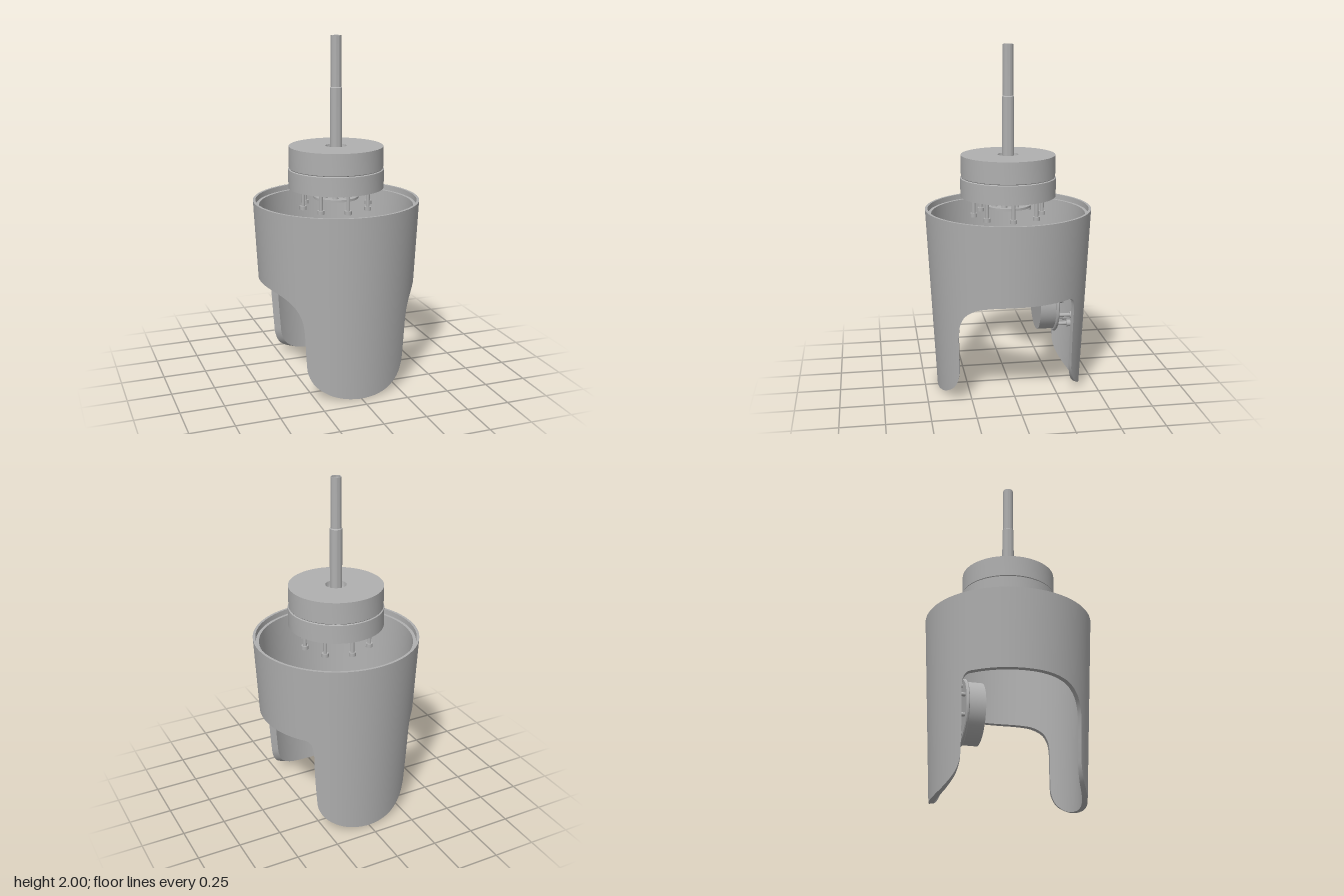
import * as THREE from 'three';
import { toCreasedNormals } from 'three/addons/utils/BufferGeometryUtils.js';

const grey = new THREE.MeshStandardMaterial({ color: 0xb0b0b0, side: THREE.DoubleSide });
grey.name = 'plain grey';

function add(parent, name, geometry, x = 0, y = 0, z = 0) {
  const mesh = new THREE.Mesh(geometry, grey);
  mesh.name = name;
  mesh.position.set(x, y, z);
  parent.add(mesh);
  return mesh;
}

// Turned part with crisp edges; profile is [radius, height] going up the outside
function turned(profile, segments = 64) {
  const points = profile.map(([r, y]) => new THREE.Vector2(r, y));
  return toCreasedNormals(new THREE.LatheGeometry(points, segments), 0.6);
}

// Tapered sleeve whose lower rim follows two legs and two side openings
function sleeveGeometry() {
  const foot = [[0, 0], [12.5, 0.008], [25, 0.033], [36, 0.085], [41, 0.15], [42, 0.22]];
  const front = [...foot, [43, 0.41], [44.5, 0.47], [49, 0.53], [58, 0.578], [69, 0.6], [80, 0.608], [90, 0.61]];
  const back = [...foot, [43, 0.4], [43.5, 0.55], [45, 0.59], [48, 0.608], [54, 0.61]];
  const path = [...front, ...back.reverse().map(([a, y]) => [180 - a, y])];
  const curve = new THREE.CatmullRomCurve3(path.map(([a, y]) => new THREE.Vector3(a / 130, y, 0)));
  const half = curve.getSpacedPoints(150).map(p => [p.x * 130, Math.max(p.y, 0)]);
  const loop = [...half, ...half.slice(0, -1).reverse().map(([a, y]) => [360 - a, y])];

  const point = (r, angle, y) => {
    const a = THREE.MathUtils.degToRad(angle);
    return [r * Math.sin(a), y, r * Math.cos(a)];
  };
  // The opening is cut sideways, so the inner edge sits at a slightly smaller angle
  const innerAngle = a => {
    if (a > 180) return 360 - innerAngle(360 - a);
    const g = a < 90 ? a : 180 - a;
    const d = g < 42 ? 3.5 * g / 42 : 3.5 * (90 - g) / 48;
    return a < 90 ? a - d : a + d;
  };
  const columns = loop.map(([a, y]) => {
    const b = innerAngle(a);
    return {
      outLow: point(0.425 + 0.0514 * y, a, y), outTop: point(0.48, a, 1.07),
      inLow: point(0.395 + 0.048 * y, b, y), inTop: point(0.445, b, 1.04),
    };
  });
  const vertices = [];
  const quad = (a, b, c, d) => vertices.push(...a, ...b, ...c, ...a, ...c, ...d);
  for (let i = 0; i < columns.length - 1; i++) {
    const p = columns[i], q = columns[i + 1];
    quad(p.outLow, q.outLow, q.outTop, p.outTop);
    quad(q.inLow, p.inLow, p.inTop, q.inTop);
    quad(p.inLow, q.inLow, q.outLow, p.outLow);
  }
  const geometry = new THREE.BufferGeometry();
  geometry.setAttribute('position', new THREE.Float32BufferAttribute(vertices, 3));
  return toCreasedNormals(geometry, 0.6);
}

// Headed pin hanging down from y = 0
function pin(parent, name, length, x, y, z) {
  const group = new THREE.Group();
  group.name = name;
  group.position.set(x, y, z);
  add(group, 'pinShank', new THREE.CylinderGeometry(0.011, 0.011, length, 16), 0, -length / 2, 0);
  add(group, 'pinHead', new THREE.CylinderGeometry(0.02, 0.02, 0.022, 16), 0, 0.011 - length, 0);
  parent.add(group);
}

function ringOfPins(parent, name, count, radius, offset, length, y) {
  for (let i = 0; i < count; i++) {
    const a = (i + offset) / count * Math.PI * 2;
    pin(parent, name, length, radius * Math.cos(a), y, radius * Math.sin(a));
  }
}

export function createModel() {
  const model = new THREE.Group();
  model.name = 'sleeveAssembly';

  // Outer sleeve and its stepped upper rim
  add(model, 'sleeve', sleeveGeometry());
  add(model, 'sleeveRim', turned([[0.48, 1.07], [0.465, 1.07], [0.463, 1.04], [0.445, 1.04]], 128));

  // Round housing with a bevelled bore
  const housing = new THREE.Group();
  housing.name = 'housing';
  model.add(housing);
  add(housing, 'lowerHousing', turned([[0.06, 1.14], [0.275, 1.14], [0.275, 1.248], [0.268, 1.252]]));
  add(housing, 'upperHousing', turned([[0.268, 1.252], [0.271, 1.256], [0.271, 1.38], [0.06, 1.38],
    [0.055, 1.35], [0.036, 1.33]]));
  add(housing, 'bore', turned([[0.06, 1.14], [0.06, 1.34]]));

  // Hollow stepped shaft with a flat core
  add(model, 'shaft', turned([[0.025, 1.1], [0.035, 1.1], [0.035, 1.71], [0.03, 1.715], [0.03, 2],
    [0.025, 2], [0.025, 1.1]], 32));
  add(model, 'shaftCore', new THREE.CylinderGeometry(0.025, 0.025, 0.6, 24), 0, 1.42, 0).scale.x = 0.45;

  // Hardware under the housing
  ringOfPins(model, 'housingPin', 8, 0.2, 0, 0.12, 1.14);
  add(model, 'retainingRing', turned([[0.06, 1.075], [0.13, 1.075], [0.13, 1.088], [0.06, 1.088], [0.06, 1.075]]));
  for (let i = 0; i < 8; i++) {
    const a = (i + 0.5) / 8 * Math.PI * 2;
    add(model, 'standoff', new THREE.CylinderGeometry(0.01, 0.018, 0.055, 12),
      0.09 * Math.cos(a), 1.113, 0.09 * Math.sin(a));
  }

  // Round cover facing the rear leg, built upright then turned to point backwards
  const cover = new THREE.Group();
  cover.name = 'rearCover';
  cover.position.set(0, 0.5, 0);
  cover.rotation.x = Math.PI / 2;
  model.add(cover);
  add(cover, 'coverBody', new THREE.CylinderGeometry(0.175, 0.175, 0.095, 64), 0, -0.2125, 0);
  add(cover, 'coverFlange', turned([[0, -0.275], [0.184, -0.275], [0.19, -0.27], [0.19, -0.262],
    [0.184, -0.257], [0, -0.257]]));
  ringOfPins(cover, 'coverBolt', 8, 0.15, 0.5, 0.09, -0.275);

  return model;
}
